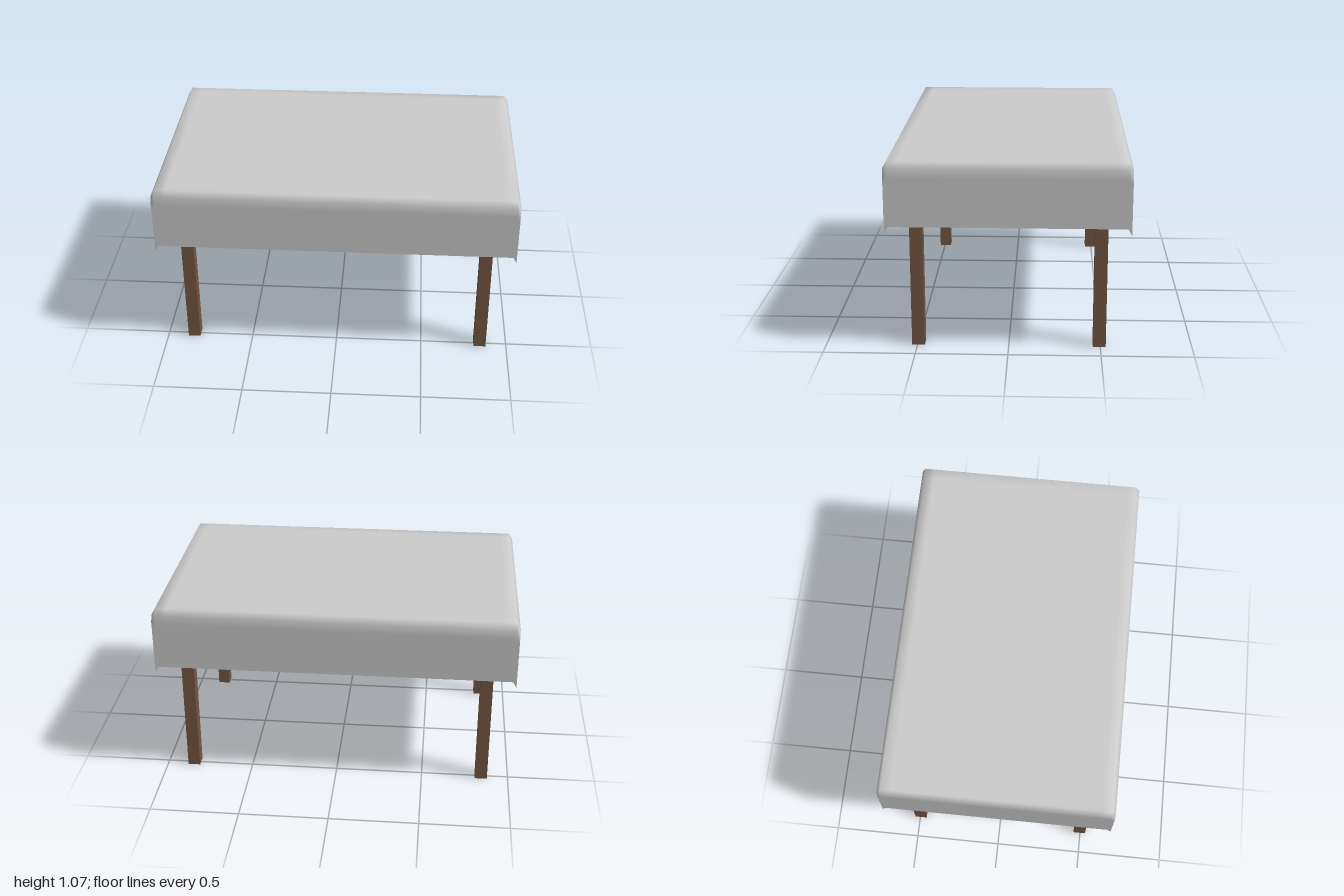
import * as THREE from 'three';

const HALF_X = 1, HALF_Z = 0.647; // cloth half sizes
const TOP = 1.066, DIP = 0.036;   // top height, drop at each rolled edge
const DROPS = [0.05, 0.315];      // rows of the hanging skirt below the rim

// Cloth: a top grid with lowered rim, and four skirts sharing its border vertices
function clothGeometry() {
  const xs = [-HALF_X, -0.98, -0.92, 0, 0.92, 0.98, HALF_X];
  const zs = [-HALF_Z, -0.627, -0.57, 0, 0.57, 0.627, HALF_Z];
  const n = xs.length, last = n - 1;
  const pos = [], index = [];
  const rim = (i) => (i === 0 || i === last ? DIP : 0);
  const height = (i, j) => TOP - rim(i) - rim(j);
  const quad = (a, b, c, d) => index.push(a, b, c, a, c, d);

  // Top
  for (let j = 0; j < n; j++) {
    for (let i = 0; i < n; i++) pos.push(xs[i], height(i, j), zs[j]);
  }
  for (let j = 0; j < last; j++) {
    for (let i = 0; i < last; i++) {
      const a = j * n + i;
      quad(a, a + n, a + n + 1, a + 1);
    }
  }

  // Skirts, each walked left to right as seen from outside
  const sides = [
    (k) => [k, last],
    (k) => [last, last - k],
    (k) => [last - k, 0],
    (k) => [0, k],
  ];
  for (const side of sides) {
    let upper = xs.map((_, k) => {
      const [i, j] = side(k);
      return j * n + i;
    });
    for (const drop of DROPS) {
      const lower = xs.map((_, k) => {
        const [i, j] = side(k);
        pos.push(xs[i], height(i, j) - drop, zs[j]);
        return pos.length / 3 - 1;
      });
      for (let k = 0; k < last; k++) quad(upper[k], lower[k], lower[k + 1], upper[k + 1]);
      upper = lower;
    }
  }

  const geometry = new THREE.BufferGeometry();
  geometry.setAttribute('position', new THREE.Float32BufferAttribute(pos, 3));
  geometry.setIndex(index);
  geometry.computeVertexNormals();
  return geometry;
}

export function createModel() {
  const model = new THREE.Group();
  model.name = 'clothCoveredTable';

  const clothMaterial = new THREE.MeshStandardMaterial({ color: 0xcccccc, side: THREE.DoubleSide });
  const cloth = new THREE.Mesh(clothGeometry(), clothMaterial);
  cloth.name = 'tablecloth';
  model.add(cloth);

  // Four square legs reaching up to the underside of the cloth
  const wood = new THREE.MeshStandardMaterial({ color: 0x755844 });
  const legHeight = 1.055;
  const legGeometry = new THREE.BoxGeometry(0.07, legHeight, 0.07);
  for (const [zName, sz] of [['front', 1], ['back', -1]]) {
    for (const [xName, sx] of [['Left', 1], ['Right', -1]]) {
      const leg = new THREE.Mesh(legGeometry, wood);
      leg.name = `${zName}${xName}Leg`;
      leg.position.set(sx * 0.845, legHeight / 2, sz * 0.495);
      model.add(leg);
    }
  }
  return model;
}
